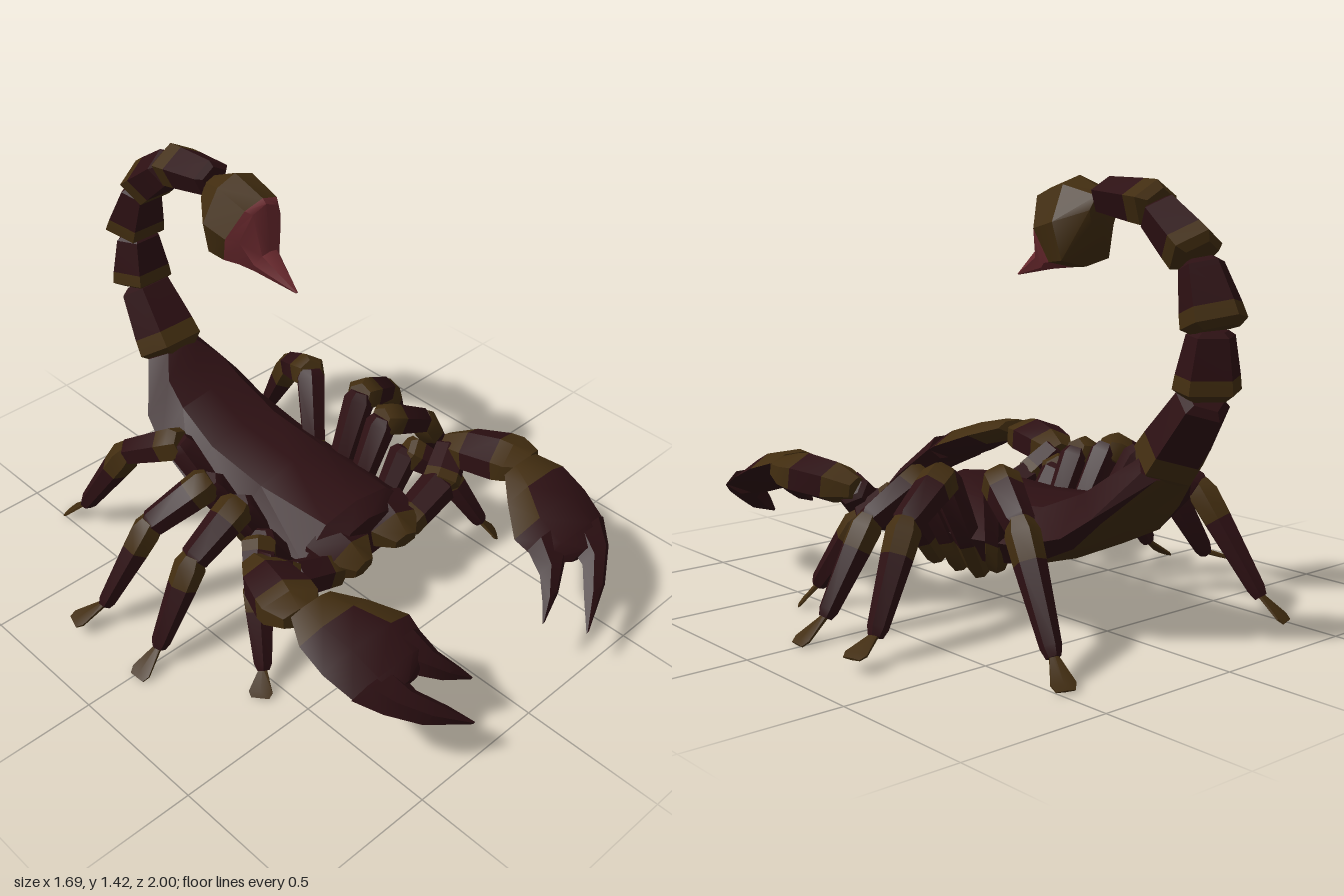
import * as THREE from 'three';
import { toCreasedNormals } from 'three/addons/utils/BufferGeometryUtils.js';

const shell = new THREE.MeshStandardMaterial({ color: 0x2d1013 });
shell.name = 'dark maroon shell';
const band = new THREE.MeshStandardMaterial({ color: 0x422d10 });
band.name = 'olive brown band';
const sting = new THREE.MeshStandardMaterial({ color: 0x6c2a2f });
sting.name = 'dusky red sting';
const MATS = [shell, band, sting];
const V = (x, y, z) => new THREE.Vector3(x, y, z);

// Closed skin through rings; pick(span, side) gives the material index.
function loft(name, rings, pick) {
  const n = rings[0].length;
  const tris = MATS.map(() => []);
  const add = (m, a, b, c) => tris[m].push([a, b, c]);
  for (let i = 0; i < rings.length - 1; i++) {
    for (let j = 0; j < n; j++) {
      const k = (j + 1) % n, m = pick(i, j);
      add(m, rings[i][j], rings[i][k], rings[i + 1][k]);
      add(m, rings[i][j], rings[i + 1][k], rings[i + 1][j]);
    }
  }
  const last = rings.length - 1;
  for (let j = 1; j < n - 1; j++) {
    add(pick(0, 0), rings[0][0], rings[0][j + 1], rings[0][j]);
    add(pick(last - 1, 0), rings[last][0], rings[last][j], rings[last][j + 1]);
  }
  // Turn the faces outward whatever the direction of the rings
  let volume = 0;
  const o = rings[0][0], s = V(0, 0, 0);
  const rel = (p) => p.clone().sub(o);
  tris.flat().forEach(([a, b, c]) => { volume += rel(a).dot(s.crossVectors(rel(b), rel(c))); });
  const geo = new THREE.BufferGeometry();
  const pos = [];
  tris.forEach((list, m) => {
    if (!list.length) return;
    geo.addGroup(pos.length / 3, list.length * 3, m);
    list.forEach(([a, b, c]) => (volume > 0 ? [a, b, c] : [a, c, b]).forEach((p) => pos.push(p.x, p.y, p.z)));
  });
  geo.setAttribute('position', new THREE.Float32BufferAttribute(pos, 3));
  const mesh = new THREE.Mesh(toCreasedNormals(geo, 0.6), MATS);
  mesh.name = name;
  return mesh;
}

// Faceted limb piece from a to b; stations are [t, halfWidth, halfHeight].
function limb(name, a, b, stations, mats, sides = 6) {
  const dir = b.clone().sub(a).normalize();
  const side = V(0, 1, 0).cross(dir);
  if (Math.abs(dir.x) < 0.001) side.set(1, 0, 0);
  side.normalize();
  const up = dir.clone().cross(side);
  const rings = stations.map(([t, w, h]) => Array.from({ length: sides }, (_, j) => {
    const q = j * 2 * Math.PI / sides;
    return a.clone().lerp(b, t).addScaledVector(side, w * Math.sin(q)).addScaledVector(up, h * Math.cos(q));
  }));
  return loft(name, rings, (i) => mats[i]);
}

// Limb piece with a flared brown base and a dark remainder
function banded(name, a, b, r0, r1, flat = 1, sides = 6) {
  const mid = r0 * 0.8 + r1 * 0.2;
  return limb(name, a, b, [[-0.06, r0 * 0.7], [0.06, r0], [0.3, mid], [0.95, r1], [1.03, r1 * 0.7]]
    .map(([t, r]) => [t, r, r * flat]), [1, 1, 0, 0], sides);
}

// Symmetric cross-section: top and bottom point [z, y], half width, height share of the widest point
function section([[tz, ty], [bz, by], w, edge]) {
  const half = [[0.57, 0.9], [1, edge], [0.78, edge * 0.16]];
  const mirrored = half.map(([u, v]) => [-u, v]).reverse();
  return [[0, 1], ...half, [0, 0], ...mirrored].map(([u, v]) => V(u * w, by + (ty - by) * v, bz + (tz - bz) * v));
}

export function createModel() {
  const root = new THREE.Group();
  root.name = 'scorpion';

  // Body rising into the tail, with a brown belly
  const body = [
    [[0.27, 0.37], [0.28, 0.21], 0.15, 0.45], [[0.21, 0.41], [0.21, 0.18], 0.25, 0.45],
    [[-0.1, 0.4], [-0.1, 0.17], 0.27, 0.45], [[-0.36, 0.42], [-0.36, 0.21], 0.262, 0.4],
    [[-0.53, 0.49], [-0.54, 0.3], 0.24, 0.25], [[-0.62, 0.55], [-0.64, 0.4], 0.215, 0.12],
    [[-0.68, 0.6], [-0.79, 0.54], 0.115, 0.4]].map(section);
  root.add(loft('body', body, (i, j) => (j === 3 || j === 4 ? 1 : 0)));

  // Tail pieces: start y z, end y z, base and tip radius
  [[0.57, -0.74, 0.78, -0.885, 0.132, 0.1], [0.8, -0.895, 0.98, -0.905, 0.12, 0.085],
    [1.0, -0.92, 1.18, -0.86, 0.118, 0.08], [1.2, -0.845, 1.32, -0.695, 0.104, 0.085],
    [1.335, -0.69, 1.36, -0.47, 0.094, 0.075]].forEach(([y0, z0, y1, z1, r0, r1], i) =>
    root.add(banded('tailSegment' + (i + 1), V(0, y0, z0), V(0, y1, z1), r0, r1, 0.78, 5)));

  // Venom bulb with hooked sting
  const bulb = [
    [[-0.47, 1.37], [-0.46, 1.26], 0.06, 0.5], [[-0.36, 1.42], [-0.39, 1.14], 0.13, 0.5],
    [[-0.23, 1.38], [-0.33, 1.135], 0.12, 0.5], [[-0.215, 1.365], [-0.28, 1.13], 0.09, 0.5],
    [[-0.2, 1.2], [-0.235, 1.125], 0.055, 0.5],
    [[-0.075, 1.103], [-0.077, 1.098], 0.004, 0.5]].map(section);
  root.add(loft('bulbAndSting', bulb, (i) => (i < 2 ? 1 : 2)));

  // Walking legs: hip, knee, shin, ankle, toe
  const legs = {
    rearLeg: [[0.2, 0.2, -0.2], [0.31, 0.51, -0.34], [0.39, 0.41, -0.53], [0.45, 0.09, -0.735], [0.48, 0.015, -0.82]],
    midRearLeg: [[0.19, 0.16, -0.1], [0.36, 0.49, -0.13], [0.56, 0.38, -0.2], [0.72, 0.09, -0.265], [0.83, 0.05, -0.3]],
    midFrontLeg: [[0.19, 0.16, 0], [0.34, 0.46, 0], [0.55, 0.35, 0.005], [0.71, 0.08, 0.01], [0.81, 0.01, 0.015]],
    frontLeg: [[0.19, 0.16, 0.12], [0.35, 0.38, 0.11], [0.44, 0.3, 0.2], [0.53, 0.08, 0.32], [0.58, 0.01, 0.36]],
  };
  const radii = [[0.042, 0.056], [0.064, 0.05], [0.055, 0.033]];

  for (const [label, s] of [['left', 1], ['right', -1]]) {
    const P = ([x, y, z]) => V(x * s, y, z);
    for (const [name, path] of Object.entries(legs)) {
      const leg = new THREE.Group();
      leg.name = label + ' ' + name;
      const p = path.map(P);
      radii.forEach(([r0, r1], i) => leg.add(banded('legSegment' + (i + 1), p[i], p[i + 1], r0, r1)));
      leg.add(limb('foot', p[3], p[4], [[0, 0.012, 0.01], [0.85, 0.045, 0.006], [1.05, 0.034, 0.004]], [1, 1]));
      root.add(leg);
    }

    // Mouthparts
    root.add(limb(label + ' mouthpart', P([0.12, 0.29, 0.18]), P([0.1, 0.262, 0.35]),
      [[0, 0.12, 0.09], [0.6, 0.115, 0.072], [1, 0.05, 0.03]], [0, 1]));

    // Pincer arm
    const arm = new THREE.Group();
    arm.name = label + ' pincerArm';
    const a = [[0.16, 0.25, 0.28], [0.36, 0.32, 0.27], [0.46, 0.41, 0.23], [0.54, 0.445, 0.5]].map(P);
    arm.add(banded('armBase', a[0], a[1], 0.06, 0.068));
    arm.add(banded('armElbow', a[1], a[2], 0.068, 0.06));
    arm.add(limb('forearm', a[2], a[3], [[-0.1, 0.05, 0.04], [0.22, 0.092, 0.07], [0.65, 0.11, 0.072],
      [0.82, 0.11, 0.06], [1.05, 0.065, 0.035]], [1, 0, 1, 1]));

    // Palm and two fingers: x range, y, z, half thickness
    const flat = (list) => list.map(([x0, x1, y, z, h]) => {
      const c = (x0 + x1) / 2, w = (x1 - x0) / 2;
      return [[-1, 0], [-0.45, 1], [0.45, 1], [1, 0], [0.45, -1], [-0.45, -1]]
        .map(([u, v]) => P([c + u * w, y + v * h, z + v * h * 0.4]));
    });
    arm.add(loft('palm', flat([[0.41, 0.575, 0.465, 0.505, 0.02], [0.33, 0.62, 0.435, 0.59, 0.04],
      [0.25, 0.62, 0.39, 0.69, 0.045], [0.265, 0.595, 0.345, 0.79, 0.04],
      [0.37, 0.55, 0.315, 0.84, 0.03]]),
    (i, j) => ((i === 0 && j !== 3) || (i === 1 && j === 0) ? 1 : 0)));
    arm.add(loft('outerFinger', flat([[0.41, 0.6, 0.345, 0.79, 0.038], [0.4, 0.54, 0.3, 0.865, 0.035],
      [0.33, 0.44, 0.235, 0.935, 0.025], [0.272, 0.285, 0.17, 0.998, 0.004]]), () => 0));
    arm.add(loft('innerFinger', flat([[0.26, 0.42, 0.37, 0.74, 0.04], [0.245, 0.38, 0.315, 0.81, 0.034],
      [0.2, 0.28, 0.255, 0.865, 0.022], [0.17, 0.18, 0.21, 0.895, 0.004]]), () => 0));
    root.add(arm);
  }
  return root;
}
